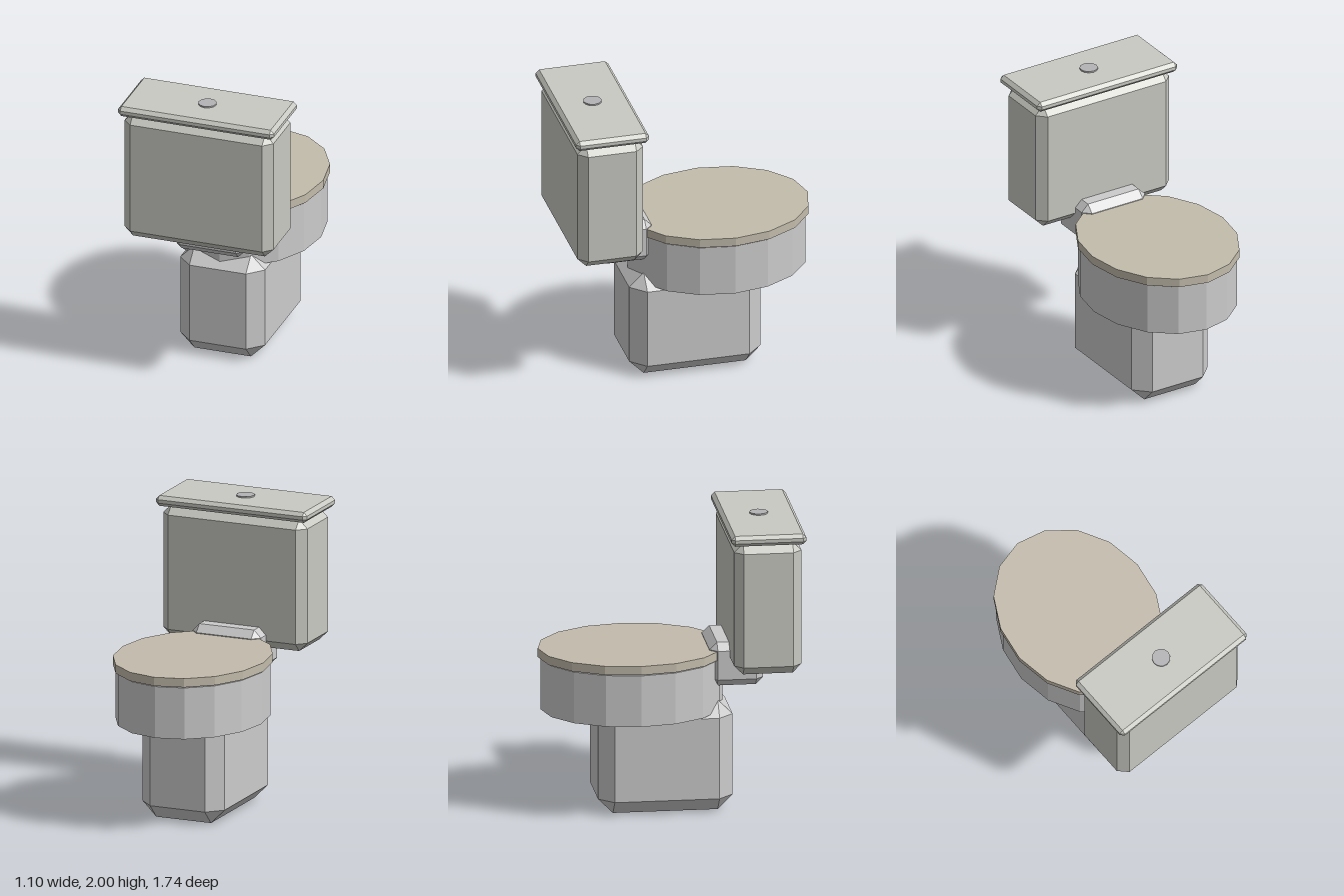
import * as THREE from 'three';
import { ConvexGeometry } from 'three/addons/geometries/ConvexGeometry.js';

const material = (color) => new THREE.MeshStandardMaterial({ color, flatShading: true });

// Box with every edge and corner cut at 45 degrees; min and max are [x, y, z]
function chamferBox(min, max, c) {
  const points = [];
  const half = max.map((v, i) => (v - min[i]) / 2);
  const mid = max.map((v, i) => (v + min[i]) / 2);
  for (const sx of [-1, 1]) for (const sy of [-1, 1]) for (const sz of [-1, 1]) {
    const s = [sx, sy, sz];
    // Each corner becomes three points, one on each adjoining face
    for (let face = 0; face < 3; face++) {
      const p = s.map((sign, i) => mid[i] + sign * (half[i] - (i === face ? 0 : c)));
      points.push(new THREE.Vector3(...p));
    }
  }
  return new ConvexGeometry(points);
}

// Upright elliptical drum
function drum(rx, rz, y0, y1, z, sides) {
  return new THREE.CylinderGeometry(1, 1, y1 - y0, sides)
    .scale(rx, 1, rz)
    .translate(0, (y0 + y1) / 2, z);
}

export function createModel() {
  const model = new THREE.Group();
  model.name = 'toilet';
  const bowlMat = material(0xcccccc);
  const tankMat = material(0xc8c9c2);
  const seatMat = material(0xc3bcac);
  const buttonMat = material(0xb4b4b6);

  const add = (name, geometry, mat) => {
    const mesh = new THREE.Mesh(geometry, mat);
    mesh.name = name;
    model.add(mesh);
  };

  // Pedestal, bowl and closed seat lid
  add('pedestal', chamferBox([-0.3, 0, -0.49], [0.3, 0.76, 0.415], 0.1), bowlMat);
  add('bowl', drum(0.5, 0.612, 0.68, 1.035, -0.238, 16), bowlMat);
  add('seatLid', drum(0.515, 0.63, 1.045, 1.105, -0.24, 16), seatMat);

  // Block joining bowl and tank
  add('neck', chamferBox([-0.25, 0.86, 0.26], [0.25, 1.16, 0.62], 0.05), bowlMat);

  // Tank, its lid and the flush button
  add('tank', chamferBox([-0.527, 1.01, 0.39], [0.527, 1.92, 0.843], 0.06), tankMat);
  add('tankLid', chamferBox([-0.552, 1.918, 0.365], [0.552, 1.99, 0.868], 0.024), tankMat);
  add('flushButton', drum(0.062, 0.062, 1.98, 2, 0.616, 12), buttonMat);

  return model;
}
